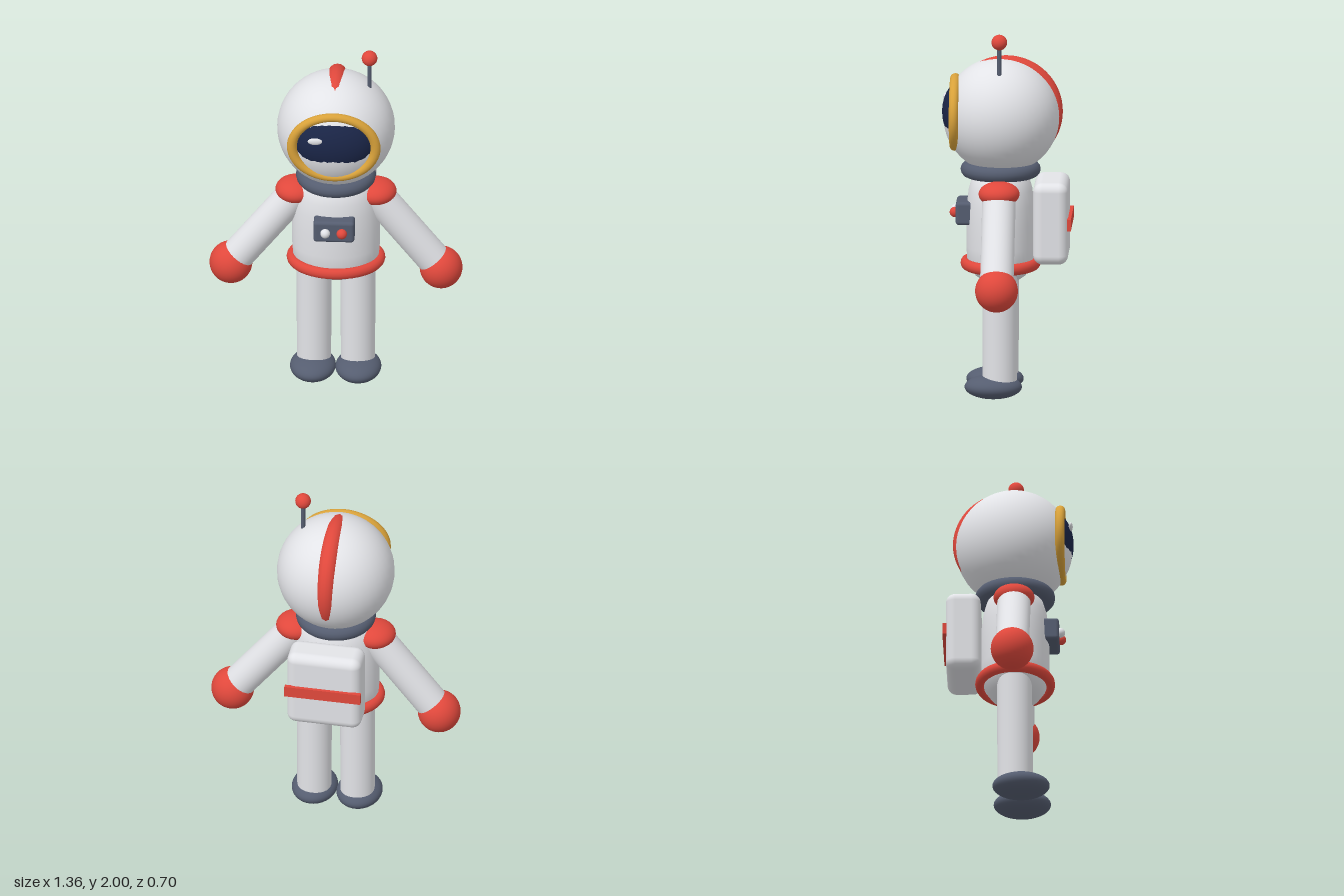
import * as THREE from 'three';
import { RoundedBoxGeometry } from 'three/addons/geometries/RoundedBoxGeometry.js';

const material = (name, color) => {
  const m = new THREE.MeshStandardMaterial({ color });
  m.name = name;
  return m;
};

export function createModel() {
  const white = material('suitWhite', 0xe4e5e9);
  const red = material('trimRed', 0xe0483c);
  const slate = material('slateGrey', 0x555d70);
  const gold = material('visorGold', 0xd9a23a);
  const navy = material('visorNavy', 0x1a2547);

  const model = new THREE.Group();
  model.name = 'astronaut';
  const Z = 0.035; // body axis

  const add = (name, geometry, mat, x, y, z, parent = model) => {
    const mesh = new THREE.Mesh(geometry, mat);
    mesh.name = name;
    mesh.position.set(x, y, z);
    parent.add(mesh);
    return mesh;
  };
  const ellipsoid = (rx, ry, rz) => new THREE.SphereGeometry(1, 40, 28).scale(rx, ry, rz);
  const box = (w, h, d, r) => new RoundedBoxGeometry(w, h, d, 4, r);
  // Horizontal ring
  const ring = (radius, tube) => new THREE.TorusGeometry(radius, tube, 14, 48).rotateX(Math.PI / 2);

  // Torso: rounded barrel, flattened front to back
  const profile = [
    [0, 0.61], [0.06, 0.615], [0.12, 0.632], [0.175, 0.662], [0.213, 0.705], [0.231, 0.755],
    [0.236, 0.82], [0.236, 0.95], [0.231, 1.05], [0.219, 1.13], [0.195, 1.195], [0.15, 1.24], [0, 1.25],
  ].map(([r, y]) => new THREE.Vector2(r, y));
  add('torso', new THREE.LatheGeometry(profile, 40).scale(1, 1, 0.78), white, 0, 0, Z);
  add('belt', ring(0.234, 0.031).scale(1, 1, 0.81), red, 0, 0.726, Z);
  add('collar', ring(0.173, 0.042), slate, 0, 1.237, Z);

  // Helmet
  const helmet = new THREE.Group();
  helmet.name = 'helmet';
  model.add(helmet);
  add('helmetShell', ellipsoid(0.316, 0.314, 0.314), white, 0, 1.53, 0.03, helmet);
  add('visor', ellipsoid(0.222, 0.178, 0.13), navy, 0, 1.55, 0.219, helmet);
  add('visorRim', new THREE.TorusGeometry(0.225, 0.027, 14, 56).scale(1, 0.82, 0.95),
    gold, 0, 1.545, 0.28, helmet);
  add('visorGlint', ellipsoid(0.039, 0.02, 0.011), white, -0.098, 1.61, 0.336, helmet);
  // Crest band sinks into the shell towards the front
  add('helmetStripe', new THREE.TorusGeometry(0.253, 0.05, 16, 64).rotateY(Math.PI / 2),
    red, 0, 1.554, 0.004, helmet);
  add('antennaRod', new THREE.CylinderGeometry(0.012, 0.012, 0.24, 14), slate, 0.18, 1.84, Z, helmet);
  add('antennaBall', ellipsoid(0.042, 0.042, 0.042), red, 0.18, 1.96, Z, helmet);

  // Chest panel
  add('chestPanel', box(0.22, 0.125, 0.1, 0.018), slate, 0, 1.008, 0.223);
  add('whiteButton', ellipsoid(0.026, 0.026, 0.026), white, -0.046, 1.007, 0.279);
  add('redButton', ellipsoid(0.028, 0.028, 0.028), red, 0.043, 1.007, 0.279);

  // Backpack
  add('backpack', box(0.405, 0.445, 0.187, 0.05), white, 0, 0.968, -0.239);
  add('backpackStripe', new THREE.BoxGeometry(0.415, 0.062, 0.022), red, 0, 0.968, -0.339);

  // Limbs, mirrored
  const shoulder = new THREE.Vector2(0.215, 1.12);
  const hand = new THREE.Vector2(0.564, 0.676);
  const span = hand.clone().sub(shoulder);
  for (const [side, s] of [['left', 1], ['right', -1]]) {
    const arm = add(side + 'Arm', new THREE.CylinderGeometry(0.09, 0.09, span.length(), 32), white,
      s * (shoulder.x + hand.x) / 2, (shoulder.y + hand.y) / 2, Z);
    arm.rotation.z = s * Math.atan2(span.x, -span.y);
    add(side + 'ShoulderPad', ellipsoid(0.108, 0.067, 0.11), red, s * 0.217, 1.14, Z);
    add(side + 'Glove', ellipsoid(0.115, 0.115, 0.115), red, s * hand.x, hand.y, Z);
    add(side + 'Leg', new THREE.CylinderGeometry(0.094, 0.092, 0.62, 32), white, s * 0.118, 0.39, Z);
    add(side + 'Boot', ellipsoid(0.123, 0.065, 0.154), slate, s * 0.122, 0.07, 0.07);
  }
  return model;
}
